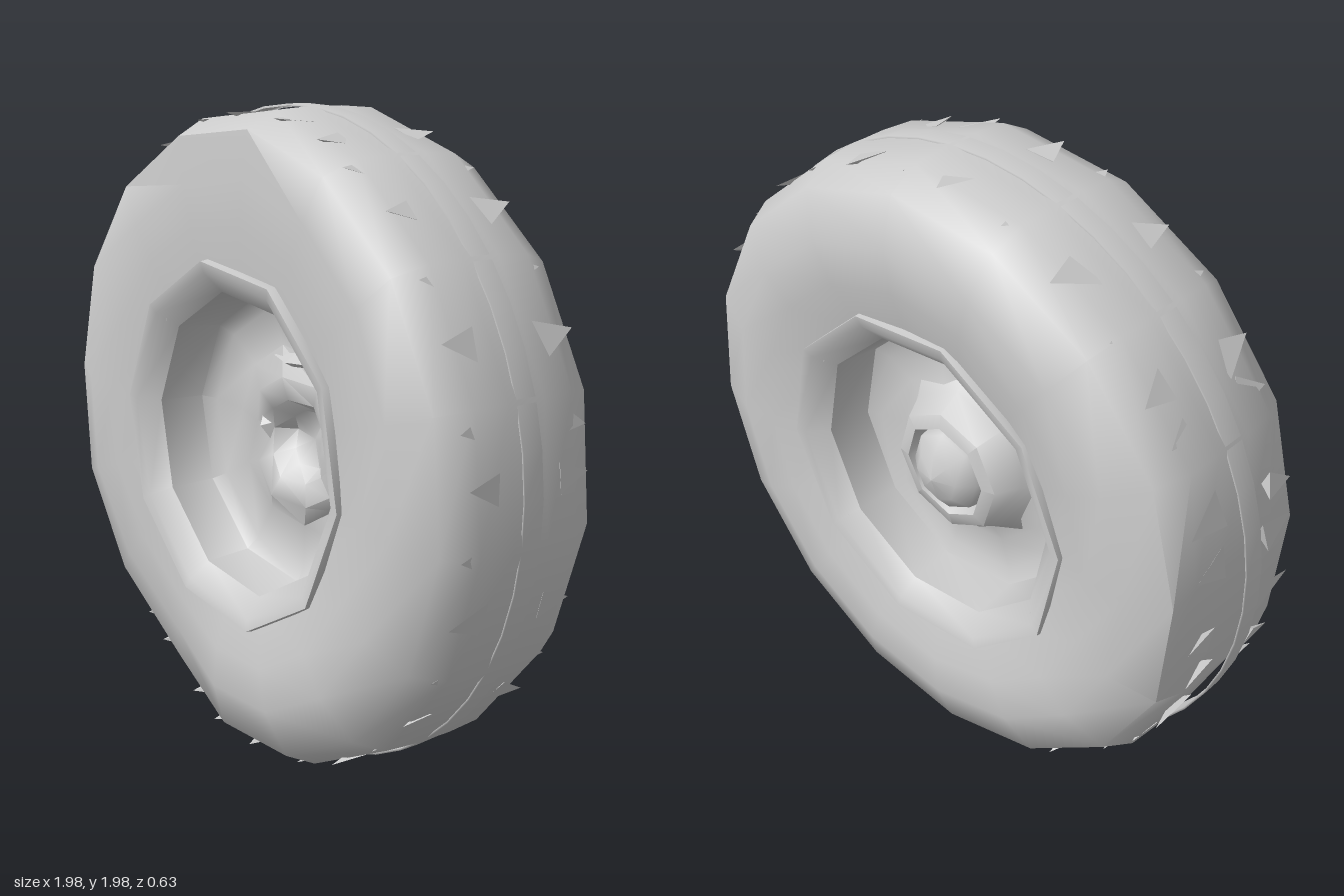
import * as THREE from 'three';
import { toCreasedNormals } from 'three/addons/utils/BufferGeometryUtils.js';

const SIDES = 16;
const START = -0.1;

export function createModel() {
  const model = new THREE.Group();
  const wheel = new THREE.Group();
  wheel.name = 'wheel';
  wheel.position.y = 0.995;
  model.add(wheel);

  const grey = new THREE.MeshStandardMaterial({ color: 0xcccccc, side: THREE.DoubleSide });
  const flat = new THREE.MeshStandardMaterial({ color: 0xcccccc, side: THREE.DoubleSide, flatShading: true });

  let seed = 7;
  const random = () => (seed = (seed * 16807) % 2147483647) / 2147483647;

  const add = (parent, name, geometry, material = grey) => {
    const mesh = new THREE.Mesh(geometry, material);
    mesh.name = name;
    parent.add(mesh);
    return mesh;
  };

  // Profile of [radius, z] pairs turned about the wheel axis (z)
  const turn = (profile, sides = SIDES, start = START) =>
    new THREE.LatheGeometry(profile.map(([r, z]) => new THREE.Vector2(r, z)), sides, start)
      .rotateX(Math.PI / 2);

  // Moves each vertex of a geometry by a rule
  const reshape = (geometry, rule) => {
    const p = geometry.attributes.position;
    const v = new THREE.Vector3();
    for (let i = 0; i < p.count; i++) {
      rule(v.fromBufferAttribute(p, i));
      p.setXYZ(i, v.x, v.y, v.z);
    }
    geometry.computeVertexNormals();
    return geometry;
  };

  // Tyre: tread, rounded shoulders and bulging sidewalls
  const half = [[0.993, 0.06], [0.985, 0.17], [0.935, 0.265], [0.79, 0.315], [0.66, 0.31], [0.5, 0.265]];
  const mirrored = half.map(([r, z]) => [r, -z]).reverse();
  const tyre = reshape(turn([...mirrored, ...half]), (v) => {
    // Worn flat on one side, front sidewall leaning back towards the top
    v.x = Math.max(v.x, -0.92);
    if (v.z > 0.3) v.z -= 0.05 * Math.max(v.y, 0);
    // Dent low on the front shoulder
    const d = Math.hypot(v.x + 0.42, v.y + 0.72);
    if (v.z > 0.2) v.z -= 0.07 * Math.exp(-d * d * 10);
  });
  add(wheel, 'tyre', toCreasedNormals(tyre, 1.0));

  // Thin band running round the middle of the tread
  add(wheel, 'centreBand', turn([[0.986, -0.033], [0.992, -0.033], [0.992, 0.033], [0.986, 0.033]], 48));

  // Rim lips on both faces
  const lip = [[0.56, 0.265], [0.555, 0.297], [0.52, 0.29], [0.46, 0.235]];
  for (const side of [1, -1]) {
    const profile = lip.map(([r, z]) => [r, z * side]);
    if (side < 0) profile.reverse();
    add(wheel, side > 0 ? 'frontRimLip' : 'backRimLip', toCreasedNormals(turn(profile, 10, 0.2), 0.7));
  }

  // Front dish with a low, irregular boss and a shallow recess in it
  const frontDish = turn([[0.46, 0.235], [0.445, 0.09], [0.4, 0.06], [0.28, 0.04], [0.2, 0.09], [0.13, 0.08], [0.09, 0.02], [0, 0.01]], 10, 0.2);
  reshape(frontDish, (v) => {
    if (Math.hypot(v.x, v.y) < 0.21) {
      v.z += 0.02 * Math.cos(3 * Math.atan2(v.y, v.x));
      v.x = v.x * 1.1 + 0.07;
    }
  });
  add(wheel, 'frontDish', toCreasedNormals(frontDish, 0.9));

  // Jagged ridges [x, y, width, height, tilt] around the boss
  const ridges = [[0.3, 0.02, 0.1, 0.36, 0.1], [0.03, 0.24, 0.24, 0.05, 0], [-0.1, 0.02, 0.08, 0.16, 0.4]];
  for (const [x, y, w, h, tilt] of ridges) {
    const ridge = add(wheel, 'hubRidge', new THREE.OctahedronGeometry(0.5), flat);
    ridge.scale.set(w, h, 0.09);
    ridge.position.set(x, y, 0.05);
    ridge.rotation.z = tilt;
  }

  // Back dish with a raised collar and a domed cap
  add(wheel, 'backDish', toCreasedNormals(turn([[0.24, -0.08], [0.3, -0.06], [0.4, -0.07], [0.445, -0.09], [0.46, -0.235]], 10, 0.2), 0.8));
  add(wheel, 'hubCollar', toCreasedNormals(turn([[0.13, -0.13], [0.155, -0.185], [0.2, -0.175], [0.24, -0.1], [0.28, -0.06]], 8), 0.9));
  add(wheel, 'hubCap', turn([[0, -0.24], [0.08, -0.22], [0.13, -0.18], [0.14, -0.12]], 8));

  // Tread spikes in two rows, each pointing out towards its shoulder
  const tread = new THREE.Group();
  tread.name = 'treadSpikes';
  wheel.add(tread);
  const spike = new THREE.ConeGeometry(1, 1, 3);
  const count = 32;
  for (const side of [1, -1]) {
    for (let i = 0; i < count; i++) {
      const phi = ((i + random() * 0.5) / count) * Math.PI * 2;
      const size = 0.6 + random() * 0.5;
      const holder = new THREE.Group();
      holder.position.set(
        Math.max(0.967 * Math.sin(phi), -0.945),
        -0.967 * Math.cos(phi),
        side * (0.15 + random() * 0.02),
      );
      holder.rotation.z = phi;
      const mesh = add(holder, 'treadSpike', spike, flat);
      mesh.scale.set(0.065 * size, 0.13 * size, -side * 0.02);
      mesh.rotation.set(side * (Math.PI / 2 + 0.1), 0, (random() - 0.5) * 0.5);
      tread.add(holder);
    }
  }
  return model;
}
